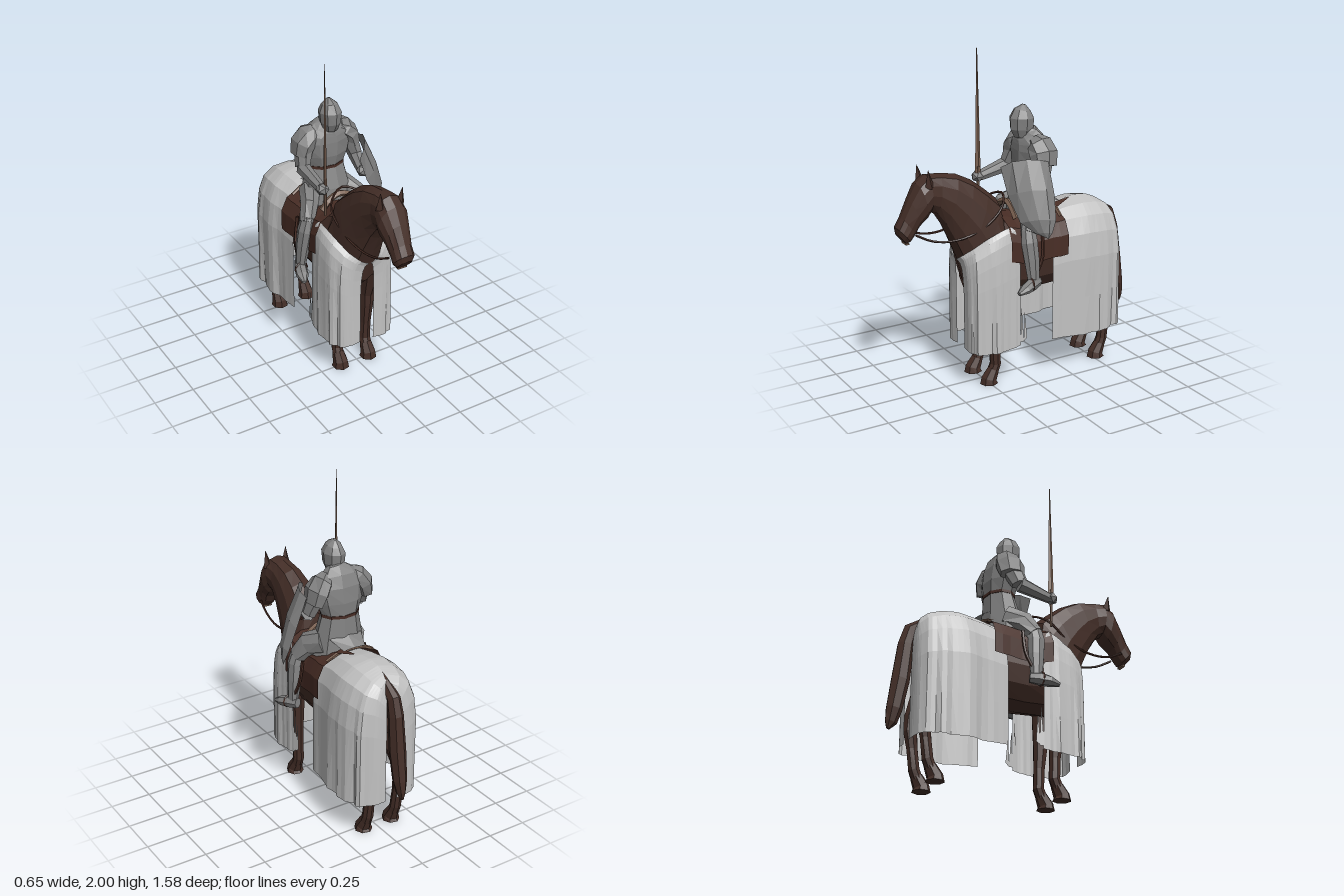
import * as THREE from 'three';

const mat = (name, color, side = THREE.FrontSide) => {
  const m = new THREE.MeshStandardMaterial({ color, side, flatShading: true });
  m.name = name;
  return m;
};

export function createModel() {
  const hide = mat('horse brown', 0x442e27);
  const leather = mat('saddle leather', 0x482d25, THREE.DoubleSide);
  const cloth = mat('pale cloth', 0xc2c2c2, THREE.DoubleSide);
  const steel = mat('steel', 0x828282, THREE.DoubleSide);
  const wood = mat('light brown', 0x7a6050);

  const root = new THREE.Group();
  root.name = 'mountedKnight';
  const horse = new THREE.Group();
  horse.name = 'horse';
  const rider = new THREE.Group();
  rider.name = 'rider';
  horse.position.x = rider.position.x = -0.015;
  root.add(horse, rider);

  const add = (parent, name, geo, material) => {
    const mesh = new THREE.Mesh(geo, material);
    mesh.name = name;
    parent.add(mesh);
    return mesh;
  };

  const flat = (points, tris) => {
    const pos = [];
    tris.forEach((i) => pos.push(...points[i]));
    const g = new THREE.BufferGeometry();
    g.setAttribute('position', new THREE.Float32BufferAttribute(pos, 3));
    g.computeVertexNormals();
    return g;
  };

  // Open sheet from rows of equally many points
  const sheet = (rows) => {
    const n = rows[0].length, tris = [];
    for (let r = 0; r < rows.length - 1; r++)
      for (let c = 0; c < n - 1; c++) {
        const a = r * n + c, b = a + n;
        tris.push(a, b, a + 1, a + 1, b, b + 1);
      }
    return flat(rows.flat(), tris);
  };

  // Closed skin over rings, with capped ends, always facing outward
  const loft = (rings) => {
    const n = rings[0].length, pts = rings.flat(), tris = [];
    for (let r = 0; r < rings.length - 1; r++)
      for (let i = 0; i < n; i++) {
        const a = r * n + i, b = r * n + (i + 1) % n;
        tris.push(a, a + n, b, b, a + n, b + n);
      }
    const last = (rings.length - 1) * n;
    for (let i = 1; i < n - 1; i++) tris.push(0, i, i + 1, last, last + i + 1, last + i);
    let vol = 0;
    const [A, B, C] = [0, 1, 2].map(() => new THREE.Vector3());
    for (let t = 0; t < tris.length; t += 3) {
      A.fromArray(pts[tris[t]]); B.fromArray(pts[tris[t + 1]]); C.fromArray(pts[tris[t + 2]]);
      vol += A.dot(B.cross(C));
    }
    return flat(pts, vol < 0 ? tris.reverse() : tris);
  };

  // Limb along points [x, y, z, half width, half depth]
  const limb = (pts, sides = 8) => loft(pts.map((p, k) => {
    const P = (q) => new THREE.Vector3(q[0], q[1], q[2]);
    const d = P(pts[Math.min(k + 1, pts.length - 1)]).sub(P(pts[Math.max(k - 1, 0)])).normalize();
    const u = new THREE.Vector3(1, 0, 0).addScaledVector(d, -d.x).normalize();
    const v = d.clone().cross(u);
    return Array.from({ length: sides }, (_, i) => {
      const a = (i / sides) * Math.PI * 2;
      return P(p).addScaledVector(u, Math.cos(a) * p[3]).addScaledVector(v, Math.sin(a) * p[4]).toArray();
    });
  }));

  const tube = (pts, r, n = 20) => new THREE.TubeGeometry(
    new THREE.CatmullRomCurve3(pts.map((p) => new THREE.Vector3(...p))), n, r, 5);
  const mirrored = (pts, s) => pts.map(([x, ...rest]) => [x * s, ...rest]);
  const sides = [[1, 'left'], [-1, 'right']];

  // Horse trunk, neck and head: [top z, top y, bottom z, bottom y, half width]
  const trunk = [
    [-0.64, 0.88, -0.62, 0.72, 0.05], [-0.58, 0.97, -0.56, 0.62, 0.13], [-0.42, 1.03, -0.42, 0.57, 0.18],
    [-0.2, 0.98, -0.2, 0.54, 0.18], [0, 0.98, 0.02, 0.53, 0.175], [0.13, 1.04, 0.25, 0.54, 0.165],
    [0.14, 1.13, 0.37, 0.66, 0.145], [0.22, 1.2, 0.405, 0.8, 0.13], [0.31, 1.27, 0.45, 0.91, 0.112],
    [0.41, 1.32, 0.5, 1.02, 0.097], [0.52, 1.34, 0.55, 1.1, 0.085], [0.6, 1.345, 0.585, 1.125, 0.09],
    [0.66, 1.3, 0.61, 1.09, 0.095], [0.71, 1.21, 0.66, 1.045, 0.078], [0.76, 1.11, 0.685, 1, 0.065],
    [0.792, 1.055, 0.715, 0.965, 0.066], [0.788, 1.015, 0.74, 0.956, 0.045],
  ];
  add(horse, 'horseBody', loft(trunk.map(([tz, ty, bz, by, w]) => Array.from({ length: 12 }, (_, i) => {
    const a = (i / 12) * Math.PI * 2, c = Math.cos(a), s = Math.sin(a);
    return [w * Math.sign(s) * Math.abs(s) ** 0.8, (ty + by) / 2 + c * (ty - by) / 2, (tz + bz) / 2 + c * (tz - bz) / 2];
  }))), hide);

  // Tail
  add(horse, 'tail', limb([
    [0, 0.985, -0.57, 0.025, 0.03], [0, 0.915, -0.66, 0.04, 0.045], [0, 0.82, -0.685, 0.045, 0.05],
    [0, 0.6, -0.71, 0.05, 0.055], [0, 0.42, -0.74, 0.042, 0.048], [0, 0.34, -0.755, 0.025, 0.036], [0, 0.3, -0.77, 0.008, 0.01],
  ], 7), hide);

  const frontLeg = [[0.1, 0.66, 0.25, 0.07, 0.09], [0.1, 0.46, 0.22, 0.045, 0.05], [0.1, 0.38, 0.22, 0.042, 0.046],
    [0.1, 0.24, 0.21, 0.034, 0.035], [0.1, 0.12, 0.205, 0.036, 0.034], [0.1, 0.07, 0.225, 0.037, 0.034]];
  const rearLeg = [[0.1, 0.78, -0.48, 0.08, 0.13], [0.1, 0.56, -0.52, 0.06, 0.085], [0.1, 0.42, -0.59, 0.042, 0.05],
    [0.1, 0.34, -0.6, 0.038, 0.042], [0.1, 0.24, -0.585, 0.03, 0.034], [0.1, 0.12, -0.57, 0.035, 0.034],
    [0.1, 0.07, -0.55, 0.037, 0.034]];

  // Cloth columns run between an upper edge and a hem, with uneven folds growing downward
  const drape = [[0, 0], [0.45, 0.03], [0.75, 0.1], [0.92, 0.22], [1, 0.4], [1, 0.7], [1, 1]];
  const pick = (list, t) => {
    const f = t * (list.length - 1), k = Math.min(Math.floor(f), list.length - 2);
    return list[k].map((a, j) => a + (list[k + 1][j] - a) * (f - k));
  };
  const caparison = (top, hem, s, zc) => {
    const n = 22;
    return sheet(drape.map(([across, down]) => Array.from({ length: n + 1 }, (_, i) => {
      const a = pick(top, i / n), b = pick(hem, i / n);
      const wave = Math.sin(i * 1.3 + s) + 0.7 * Math.sin(i * 2.3);
      const fold = 1 + 0.04 * down * wave * Math.sin((i / n) * Math.PI);
      return [s * (a[0] + (b[0] - a[0]) * across) * fold, a[1] + (b[1] - a[1]) * down,
        zc + (a[2] + (b[2] - a[2]) * across - zc) * (1 + (fold - 1) * 0.4)];
    })));
  };
  const frontTop = [[0.005, 0.8, 0.412], [0.06, 0.83, 0.41], [0.115, 0.88, 0.36], [0.15, 0.94, 0.28], [0.17, 0.98, 0.2], [0.178, 1, 0.14]];
  const frontHem = [[0.045, 0.24, 0.385], [0.11, 0.235, 0.39], [0.175, 0.235, 0.37], [0.215, 0.235, 0.28], [0.215, 0.24, 0.17], [0.205, 0.25, 0.09]];
  const rearTop = [[0, 1.03, -0.22], [0, 1.055, -0.33], [0, 1.065, -0.43], [0, 1.055, -0.5], [0, 1.03, -0.56], [0.01, 1, -0.6], [0.03, 0.93, -0.63]];
  const rearHem = [[0.205, 0.24, -0.135], [0.215, 0.235, -0.25], [0.242, 0.235, -0.4], [0.228, 0.235, -0.52], [0.2, 0.24, -0.62], [0.12, 0.24, -0.66], [0.04, 0.24, -0.66]];

  for (const [s, label] of sides) {
    add(horse, label + 'FrontLeg', limb(mirrored(frontLeg, s)), hide);
    add(horse, label + 'RearLeg', limb(mirrored(rearLeg, s)), hide);
    for (const [z, part] of [[0.225, 'FrontHoof'], [-0.55, 'RearHoof']])
      add(horse, label + part, limb([[0.1 * s, 0.085, z - 0.005, 0.037, 0.036], [0.1 * s, 0.03, z + 0.025, 0.047, 0.048],
        [0.1 * s, 0, z + 0.025, 0.054, 0.056]], 7), hide);
    // Ears
    const ear = add(horse, label + 'Ear', new THREE.ConeGeometry(0.03, 0.11, 4), hide);
    ear.position.set(0.068 * s, 1.335, 0.61);
    ear.rotation.set(0.12, 0, -0.08 * s);
    // Cloth covers and torn strips at the edge
    add(horse, label + 'FrontCloth', caparison(frontTop, frontHem, s, 0.2), cloth);
    add(horse, label + 'RearCloth', caparison(rearTop, rearHem, s, -0.4), cloth);
    for (let k = 0; k < 3; k++) {
      const z = 0.1 - k * 0.022, y = 0.56 - k * 0.05;
      add(horse, label + 'TornStrip', flat([[0.195 * s, y, z], [0.2 * s, 0.25 + k * 0.02, z - 0.015],
        [0.205 * s, 0.27, z + 0.012]], [0, 1, 2]), cloth);
    }
    // Stirrup leather and stirrup
    add(horse, label + 'StirrupStrap', tube([[0.22 * s, 0.95, -0.05], [0.24 * s, 0.8, -0.04], [0.25 * s, 0.68, 0.02]], 0.01, 8), leather);
    const stirrup = add(horse, label + 'Stirrup', new THREE.TorusGeometry(0.04, 0.006, 4, 10), leather);
    stirrup.position.set(0.255 * s, 0.65, 0.05);
  }

  // Saddle cover, flaring out over the cloth behind
  const saddleArc = [[-0.215, 0.775], [-0.214, 0.9], [-0.178, 0.98], [-0.09, 1.025], [0, 1.04], [0.09, 1.025], [0.178, 0.98], [0.214, 0.9], [0.215, 0.775]];
  const cover = [[0.155, 0.02, 1], [0.08, 0, 1], [-0.05, -0.01, 1], [-0.13, 0, 1.03], [-0.18, 0, 1.06], [-0.23, 0.005, 1.07]];
  add(horse, 'saddleCover', sheet(cover.map(([z, lift, wide]) => saddleArc.map(([x, y]) => [x * wide, y + lift, z]))), leather);
  // Pommel, cantle ends and the strap behind the seat
  add(horse, 'pommel', tube([[-0.12, 1.02, 0.07], [-0.07, 1.075, 0.07], [0, 1.1, 0.065], [0.07, 1.075, 0.07], [0.12, 1.02, 0.07]], 0.02, 10), wood);
  add(horse, 'cantle', tube([[-0.16, 1, -0.215], [-0.08, 1.04, -0.225], [0, 1.05, -0.23], [0.08, 1.04, -0.225], [0.16, 1, -0.215]], 0.011, 10), wood);
  add(horse, 'rearStrap', sheet([[[0.05, 1.075, -0.34], [0.055, 1.07, -0.34]], [[0.06, 1.06, -0.22], [0.11, 1.045, -0.22]]]), leather);

  // Reins and chin strap
  const rein = [[0.066, 1.015, 0.7], [0.08, 0.965, 0.6], [0.1, 0.95, 0.46], [0.12, 0.995, 0.3], [0.12, 1.1, 0.17]];
  add(horse, 'reins', tube([...rein, [0, 1.16, 0.1], ...mirrored(rein, -1).reverse()], 0.007, 40), leather);
  add(horse, 'chinStrap', new THREE.BoxGeometry(0.06, 0.01, 0.02), wood).position.set(0, 0.956, 0.735);

  // Rider torso, coat tail, belt and helmet
  add(rider, 'torso', limb([
    [0, 0.99, -0.085, 0.17, 0.125], [0, 1.1, -0.09, 0.15, 0.115], [0, 1.24, -0.105, 0.12, 0.09], [0, 1.32, -0.1, 0.15, 0.1],
    [0, 1.41, -0.095, 0.17, 0.095], [0, 1.465, -0.085, 0.145, 0.085], [0, 1.5, -0.065, 0.085, 0.07], [0, 1.515, -0.05, 0.05, 0.05],
  ], 9), steel);
  add(rider, 'coatTail', sheet([[[-0.11, 1.11, -0.17], [0, 1.13, -0.19], [0.11, 1.11, -0.17]],
    [[-0.075, 1.065, -0.265], [0, 1.072, -0.27], [0.075, 1.065, -0.265]]]), steel);
  add(rider, 'belt', limb([[0, 1.232, -0.105, 0.125, 0.095], [0, 1.25, -0.105, 0.125, 0.095]], 9), leather);
  add(rider, 'helmet', limb([
    [0, 1.48, -0.04, 0.042, 0.05], [0, 1.53, -0.04, 0.06, 0.075], [0, 1.595, -0.04, 0.067, 0.079],
    [0, 1.64, -0.045, 0.046, 0.055], [0, 1.672, -0.055, 0.008, 0.012],
  ], 8), steel);

  // Arms, reaching to the sword and behind the shield
  const arms = [[[0.14, 1.41, -0.1], [0.185, 1.26, -0.06], [0.15, 1.22, 0.07]],
    [[-0.14, 1.41, -0.1], [-0.18, 1.27, -0.05], [-0.172, 1.225, 0.15]]];
  arms.forEach(([a, b, c], i) => {
    const [s, label] = sides[i];
    add(rider, label + 'UpperArm', limb([[...a, 0.06, 0.075], [...b, 0.04, 0.055]], 7), steel);
    add(rider, label + 'Forearm', limb([[...b, 0.042, 0.05], [...c, 0.03, 0.032]], 7), steel);
    const hand = add(rider, label + 'Gauntlet', new THREE.IcosahedronGeometry(0.04, 0), steel);
    hand.position.set(c[0], c[1], c[2] + 0.015);
    // Sloping shoulder plate
    add(rider, label + 'ShoulderPlate', limb(mirrored([[0.075, 1.475, -0.085, 0.04, 0.045], [0.11, 1.45, -0.095, 0.062, 0.08],
      [0.15, 1.4, -0.1, 0.066, 0.092], [0.172, 1.33, -0.095, 0.05, 0.08]], s), 7), steel);
    // Leg armour with the toe turned outward
    add(rider, label + 'Thigh', limb(mirrored([[0.1, 1.07, -0.1, 0.07, 0.08], [0.16, 1.03, -0.01, 0.055, 0.075],
      [0.205, 0.95, 0.035, 0.045, 0.055]], s)), steel);
    add(rider, label + 'Shin', limb(mirrored([[0.195, 0.99, 0.035, 0.035, 0.045], [0.217, 0.9, 0.038, 0.046, 0.054],
      [0.23, 0.8, 0.03, 0.042, 0.05], [0.245, 0.67, 0.025, 0.03, 0.038]], s)), steel);
    add(rider, label + 'Foot', limb(mirrored([[0.235, 0.655, -0.015, 0.028, 0.032], [0.255, 0.65, 0.04, 0.038, 0.04],
      [0.275, 0.635, 0.1, 0.038, 0.03], [0.29, 0.62, 0.15, 0.014, 0.012]], s), 7), steel);
  });

  // Shield, bowed outward and tapering to a point
  add(root, 'shield', sheet([
    [[0.07, 1.34, 0.155], [0.125, 1.38, 0.11], [0.175, 1.395, 0.04], [0.205, 1.39, -0.03], [0.2, 1.37, -0.09]],
    [[0.13, 1.18, 0.14], [0.195, 1.21, 0.115], [0.25, 1.23, 0.05], [0.28, 1.225, -0.03], [0.27, 1.19, -0.09]],
    [[0.22, 1.035, 0.11], [0.27, 1.055, 0.08], [0.305, 1.065, 0.035], [0.325, 1.06, -0.025], [0.315, 1.05, -0.075]],
    [[0.28, 0.975, 0.04], [0.295, 0.98, 0.03], [0.315, 0.985, 0.01], [0.33, 0.985, -0.02], [0.325, 0.98, -0.045]],
    Array(5).fill([0.32, 0.945, -0.02]),
  ]), steel);

  // Upright sword with a flat blade
  const blade = add(root, 'swordBlade', new THREE.CylinderGeometry(0.003, 0.019, 0.75, 4), wood);
  blade.position.set(-0.172, 1.625, 0.17);
  blade.scale.x = 0.45;
  const grip = add(root, 'swordGrip', new THREE.CylinderGeometry(0.01, 0.008, 0.24, 6), wood);
  grip.position.set(-0.172, 1.17, 0.17);

  return root;
}
